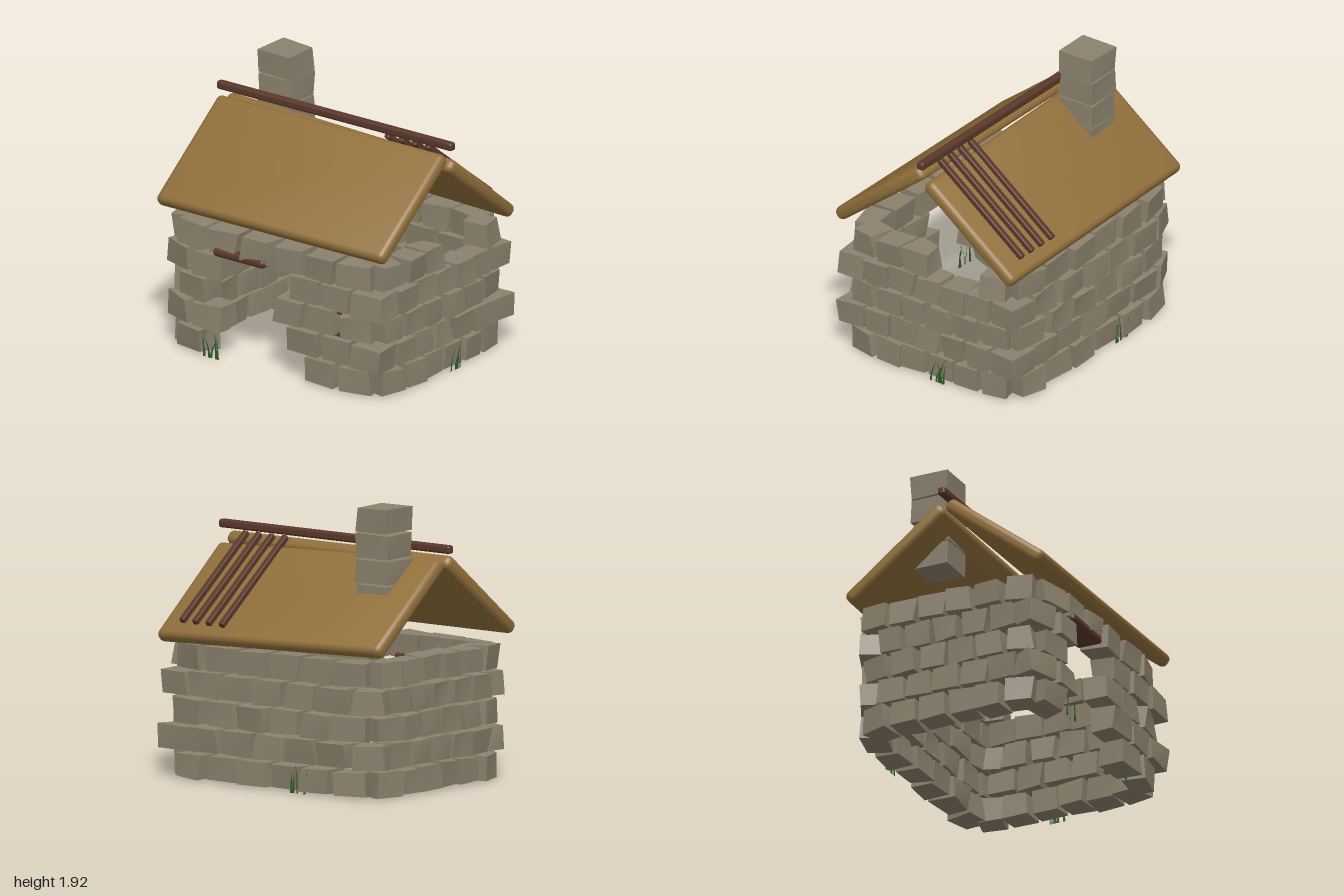
import * as THREE from 'three';
import { RoundedBoxGeometry } from 'three/addons/geometries/RoundedBoxGeometry.js';

const mat = (name, color, extra = {}) => Object.assign(new THREE.MeshStandardMaterial({ color, ...extra }), { name });

export function createModel() {
  const house = new THREE.Group();
  house.name = 'stoneCottage';
  const stone = mat('stone', 0x8b816d);
  const thatch = mat('thatch', 0x916f3b);
  const wood = mat('wood', 0x5a382a);
  const grass = mat('grass', 0x2c5a26, { side: THREE.DoubleSide });

  // Seeded random, returning -1..1
  let seed = 17;
  const rnd = () => {
    seed = (seed * 16807) % 2147483647;
    return (seed / 2147483647) * 2 - 1;
  };

  const group = (name, parent = house) => {
    const g = new THREE.Group();
    g.name = name;
    parent.add(g);
    return g;
  };

  const add = (parent, name, geometry, material, x, y, z) => {
    const m = new THREE.Mesh(geometry, material);
    m.name = name;
    m.position.set(x, y, z);
    parent.add(m);
    return m;
  };

  // Rough block: a box with each of its eight corners nudged
  const block = (parent, name, [w, h, d], x, y, z, yaw = 0, rough = 0.018) => {
    const g = new THREE.BoxGeometry(w, h, d);
    const p = g.attributes.position;
    const nudge = Array.from({ length: 8 }, () => [rnd() * rough, rnd() * rough * 0.4, rnd() * rough]);
    for (let i = 0; i < p.count; i++) {
      const [a, b, c] = [p.getX(i), p.getY(i), p.getZ(i)];
      const n = nudge[(a > 0 ? 4 : 0) + (b > 0 ? 2 : 0) + (c > 0 ? 1 : 0)];
      p.setXYZ(i, a + n[0], b + n[1], c + n[2]);
    }
    g.computeVertexNormals();
    add(parent, name, g, stone, x, y, z).rotation.y = yaw;
  };

  // Walls: five courses in running bond
  const walls = group('walls');
  const frontWall = group('frontWall', walls);
  const backWall = group('backWall', walls);
  const sideWalls = { '1': group('leftWall', walls), '-1': group('rightWall', walls) };
  const corners = group('cornerStones', walls);
  const long = [0.235, 0.165, 0.175];
  const short = [0.185, 0.165, 0.18];
  const doorEnds = [[-0.5, 0.25], [-0.4, 0.1], [-0.5, 0], [-0.4, 0.1], [1, 1]];
  for (let row = 0; row < 5; row++) {
    const y = 0.097 + row * 0.1865;
    const odd = row % 2;
    const [doorLeft, doorRight] = doorEnds[row];
    // Odd courses end in corner stones, even ones in slightly turned stones
    const count = odd ? 5 : 6;
    for (let i = 0; i < count; i++) {
      const k = i - (count - 1) / 2;
      const end = !odd && (i === 0 || i === count - 1);
      const turn = end ? 0.2 * Math.sign(k) : 0;
      const inset = end ? 0.012 : 0;
      const x = k * 0.273;
      const z = k * 0.211;
      if (x < doorLeft || x > doorRight)
        block(frontWall, 'stone', long, x + rnd() * 0.01, y, 0.645 - inset + rnd() * 0.008, turn);
      block(backWall, 'stone', long, x + rnd() * 0.01, y, -0.645 + inset + rnd() * 0.008, -turn);
      // The left wall has a gap in its top course
      for (const s of [1, -1])
        if (!(s === 1 && row === 4 && z < -0.05 && z > -0.4))
          block(sideWalls[s], 'stone', short, s * (0.832 - inset + rnd() * 0.01), y, z, -turn * s);
    }
    // Square corners on the left, worn ones on the right
    if (odd)
      for (const s of [1, -1]) {
        block(corners, 'squareCornerStone', [0.23, 0.165, 0.2], 0.815, y, s * 0.632, s * 0.04);
        block(corners, 'wornCornerStone', [0.22, 0.165, 0.18], -0.8, y, s * 0.605, -s * 0.36);
      }
  }

  // Timber over the doorway and around the window slit
  const lintel = add(house, 'doorLintel', new RoundedBoxGeometry(0.43, 0.06, 0.19, 2, 0.025), wood, -0.265, 0.767, 0.652);
  lintel.rotation.set(0, 0.01, -0.01);
  add(house, 'windowSill', new THREE.BoxGeometry(0.31, 0.022, 0.06), wood, 0.54, 0.38, 0.64);
  add(house, 'windowLintel', new THREE.BoxGeometry(0.28, 0.03, 0.06), wood, 0.54, 0.54, 0.63);

  // Roof slopes with softly pillowed normals, the back one sagging to one side
  const roof = group('roof');
  const slope = (name, y, z, ...turn) => {
    const g = new RoundedBoxGeometry(1.93, 0.095, 0.9, 4, 0.04);
    const p = g.attributes.position;
    const n = g.attributes.normal;
    const v = new THREE.Vector3();
    for (let i = 0; i < p.count; i++) {
      v.fromBufferAttribute(n, i);
      v.x += 0.15 * Math.sign(p.getX(i));
      v.z += 0.15 * Math.sign(p.getZ(i));
      v.normalize();
      n.setXYZ(i, v.x, v.y, v.z);
    }
    add(roof, name, g, thatch, 0, y, z).rotation.set(...turn);
  };
  slope('frontSlope', 1.287, 0.379, 0.664, 0, 0);
  slope('backSlope', 1.246, -0.371, -0.664, 0, -0.03, 'ZYX');

  // Ridge pole and bare battens
  add(roof, 'ridgePole', new RoundedBoxGeometry(2, 0.058, 0.058, 2, 0.018), wood, 0, 1.64, 0.005);
  for (const x of [0.432, 0.547, 0.66, 0.772]) {
    const batten = add(roof, 'batten', new RoundedBoxGeometry(0.04, 0.042, 0.87, 1, 0.008), wood, x, 1.333, -0.344);
    batten.rotation.x = -0.652;
  }

  // Chimney of stacked blocks
  const chimney = group('chimney');
  for (let i = 0; i < 4; i++)
    block(chimney, 'chimneyStone', [0.262, 0.162, 0.268], -0.597, 1.316 + i * 0.1745, -0.22, 0, 0.011);

  // Grass tufts: tapered, bending blades
  const blade = (parent, x, z, height, angle, lean) => {
    const g = new THREE.PlaneGeometry(0.018, height, 1, 4);
    g.translate(0, height / 2, 0);
    const p = g.attributes.position;
    for (let i = 0; i < p.count; i++) {
      const t = p.getY(i) / height;
      p.setX(i, p.getX(i) * (1 - 0.9 * t) + lean * t * t);
    }
    g.computeVertexNormals();
    add(parent, 'grassBlade', g, grass, x, 0, z).rotation.y = angle;
  };
  const tufts = [
    [-0.5, 0.735, 0], [0.54, 0.62, 0], [0.94, -0.09, Math.PI / 2], [-0.28, -0.742, 0],
  ];
  for (const [x, z, turn] of tufts) {
    const tuft = group('grassTuft');
    for (let i = 0; i < 6; i++) {
      const along = rnd() * 0.07;
      blade(tuft, x + along * Math.cos(turn), z + along * Math.sin(turn),
        0.17 + rnd() * 0.04, turn + rnd() * 0.5, rnd() * 0.06);
    }
  }
  return house;
}
